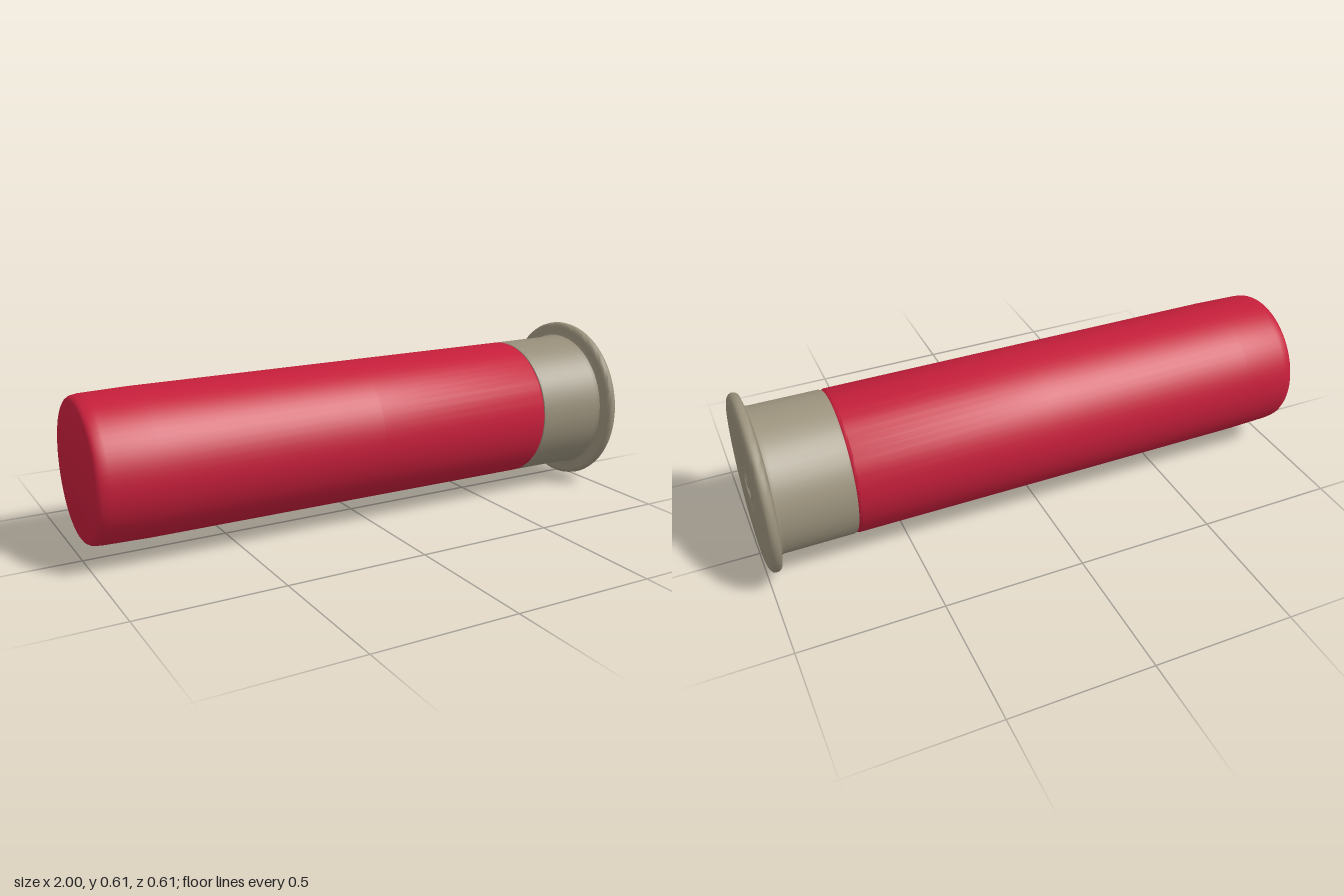
import * as THREE from 'three';
import { toCreasedNormals } from 'three/addons/utils/BufferGeometryUtils.js';

const RADIUS = 0.306;
const red = new THREE.MeshStandardMaterial({ color: 0xc41e3a });
red.name = 'red plastic';
const metal = new THREE.MeshStandardMaterial({ color: 0x9a917c });
metal.name = 'dull metal';

// Turned part: profile of [x along the axis, radius], listed from -x to +x
function turned(name, profile, material, sides = 64) {
  const points = profile.map(([x, r]) => new THREE.Vector2(r, x));
  const geometry = toCreasedNormals(new THREE.LatheGeometry(points, sides), 0.7);
  geometry.rotateZ(-Math.PI / 2);
  const mesh = new THREE.Mesh(geometry, material);
  mesh.name = name;
  mesh.position.y = RADIUS;
  return mesh;
}

export function createModel() {
  const group = new THREE.Group();
  group.name = 'cartridge';

  // Long tube with a flat, softly rounded closed end
  group.add(turned('tube', [
    [-1, 0], [-1, 0.228], [-0.995, 0.236], [-0.985, 0.242], [-0.96, 0.246],
    [-0.8, 0.25], [0, 0.251], [0.68, 0.252], [0.688, 0.249], [0.692, 0.244],
  ], red));

  // Metal head with a flared, rounded rim and a dished groove around the primer
  group.add(turned('head', [
    [0.69, 0.242], [0.692, 0.249], [0.7, 0.252], [0.94, 0.253], [0.952, 0.258],
    [0.957, 0.27], [0.958, 0.288], [0.961, 0.299], [0.968, 0.305], [0.978, 0.306],
    [0.987, 0.303], [0.993, 0.296], [0.997, 0.284], [0.999, 0.26], [0.999, 0.1],
    [0.997, 0.085], [0.989, 0.074], [0.989, 0.068], [0.997, 0.058], [0.998, 0.052],
    [0.994, 0.047], [0.982, 0.042],
  ], metal));

  // Small domed primer set in the middle of the head
  group.add(turned('primer', [
    [0.981, 0.044], [0.985, 0.036], [0.992, 0.027], [0.997, 0.014], [0.999, 0],
  ], metal, 32));

  return group;
}
